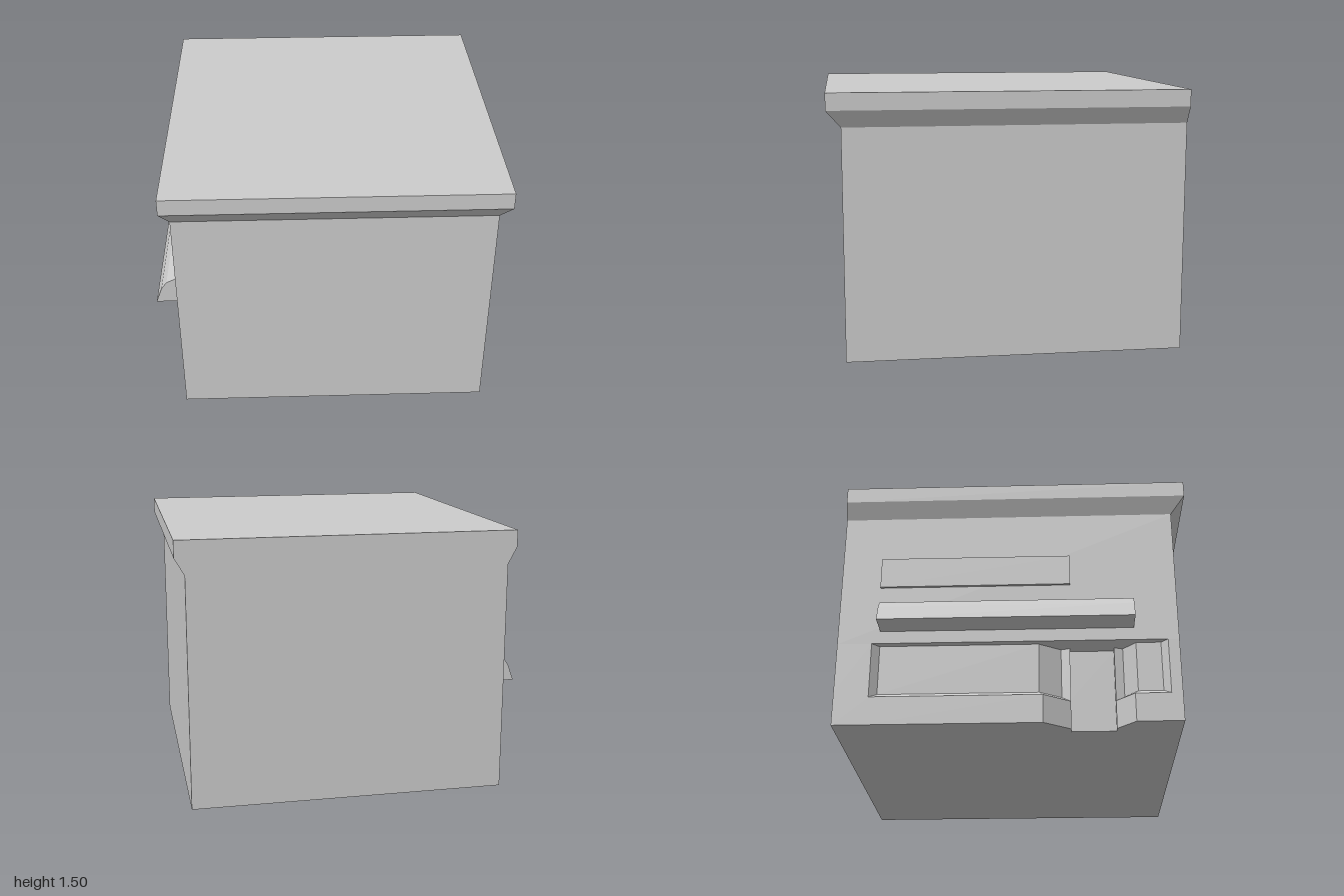
import * as THREE from 'three';

const material = new THREE.MeshStandardMaterial({ color: 0xcccccc, flatShading: true });

// Flat horizontal cap over an outline of [x, z] points
function cap(ring, y, up) {
  const s = up ? -1 : 1;
  const shape = new THREE.Shape(ring.map(([x, z]) => new THREE.Vector2(x, s * z)));
  return new THREE.ShapeGeometry(shape).rotateX(s * Math.PI / 2).translate(0, y, 0);
}

// Side walls joining stacked outlines, each layer being { y, ring }
function walls(layers) {
  const pos = [];
  for (let k = 0; k < layers.length - 1; k++) {
    const lo = layers[k], hi = layers[k + 1], n = lo.ring.length;
    const at = (layer, i) => [layer.ring[i % n][0], layer.y, layer.ring[i % n][1]];
    for (let i = 0; i < n; i++) {
      const a = at(lo, i), b = at(lo, i + 1), c = at(hi, i + 1), d = at(hi, i);
      pos.push(...a, ...b, ...c, ...a, ...c, ...d);
    }
  }
  const g = new THREE.BufferGeometry();
  g.setAttribute('position', new THREE.Float32BufferAttribute(pos, 3));
  g.computeVertexNormals();
  return g;
}

// Closed solid made of stacked outlines
function solid(name, layers) {
  const group = new THREE.Group();
  group.name = name;
  const first = layers[0], last = layers[layers.length - 1];
  const parts = { Sides: walls(layers), Underside: cap(first.ring, first.y, false), Top: cap(last.ring, last.y, true) };
  for (const [suffix, geometry] of Object.entries(parts)) {
    const mesh = new THREE.Mesh(geometry, material);
    mesh.name = name + suffix;
    group.add(mesh);
  }
  return group;
}

const rect = (x0, x1, z0, z1) => [[x0, z0], [x0, z1], [x1, z1], [x1, z0]];

export function createModel() {
  const model = new THREE.Group();
  model.name = 'shopBuilding';

  // Ground floor: [wall x, wall z, window x, window z] around the shopfront
  const plan = [
    [-0.845, -1], [-0.845, -0.805],
    [-0.845, -0.805, -0.805, -0.765], [-0.845, 0.155, -0.805, 0.135], [-0.742, 0.31, -0.725, 0.26],
    [-0.742, 0.31], [-0.7, 0.31], [-0.7, 0.56], [-0.742, 0.56],
    [-0.742, 0.56, -0.725, 0.61], [-0.845, 0.66, -0.805, 0.68], [-0.845, 0.857, -0.805, 0.82],
    [-0.845, 0.857], [-0.845, 0.92], [0.945, 0.92], [0.945, -1],
  ];
  const outer = plan.map(([x, z]) => [x, z]);
  const inner = plan.map(([x, z, wx = x, wz = z]) => [wx, wz]);
  model.add(solid('shopfront', [
    { y: 0, ring: outer }, { y: 0.165, ring: outer }, // low wall under the windows
    { y: 0.195, ring: inner }, { y: 0.49, ring: inner }, // sloping sill and set-back windows
  ]));

  // Upper walls and flared cornice, flush at the back
  const wall = rect(-0.845, 0.945, -1, 0.92);
  const eave = rect(-0.895, 1, -1, 1);
  model.add(solid('upperWallsAndCornice', [
    { y: 0.49, ring: wall }, { y: 1.31, ring: wall },
    { y: 1.405, ring: eave }, { y: 1.5, ring: eave },
  ]));

  // Awning over the shopfront
  const profile = [[-0.84, 0.565], [-0.84, 0.753], [-0.895, 0.722], [-0.932, 0.705], [-0.965, 0.66], [-1, 0.565]];
  const awning = new THREE.Mesh(new THREE.ExtrudeGeometry(
    new THREE.Shape(profile.map(([x, y]) => new THREE.Vector2(x, y))),
    { depth: 1.43, bevelEnabled: false }), material);
  awning.name = 'awning';
  awning.position.z = -0.76;
  model.add(awning);

  // Blank sign board above the awning
  const sign = new THREE.Mesh(new THREE.BoxGeometry(0.025, 0.185, 1.09), material);
  sign.name = 'signBoard';
  sign.position.set(-0.8475, 0.9375, -0.228);
  model.add(sign);

  return model;
}
